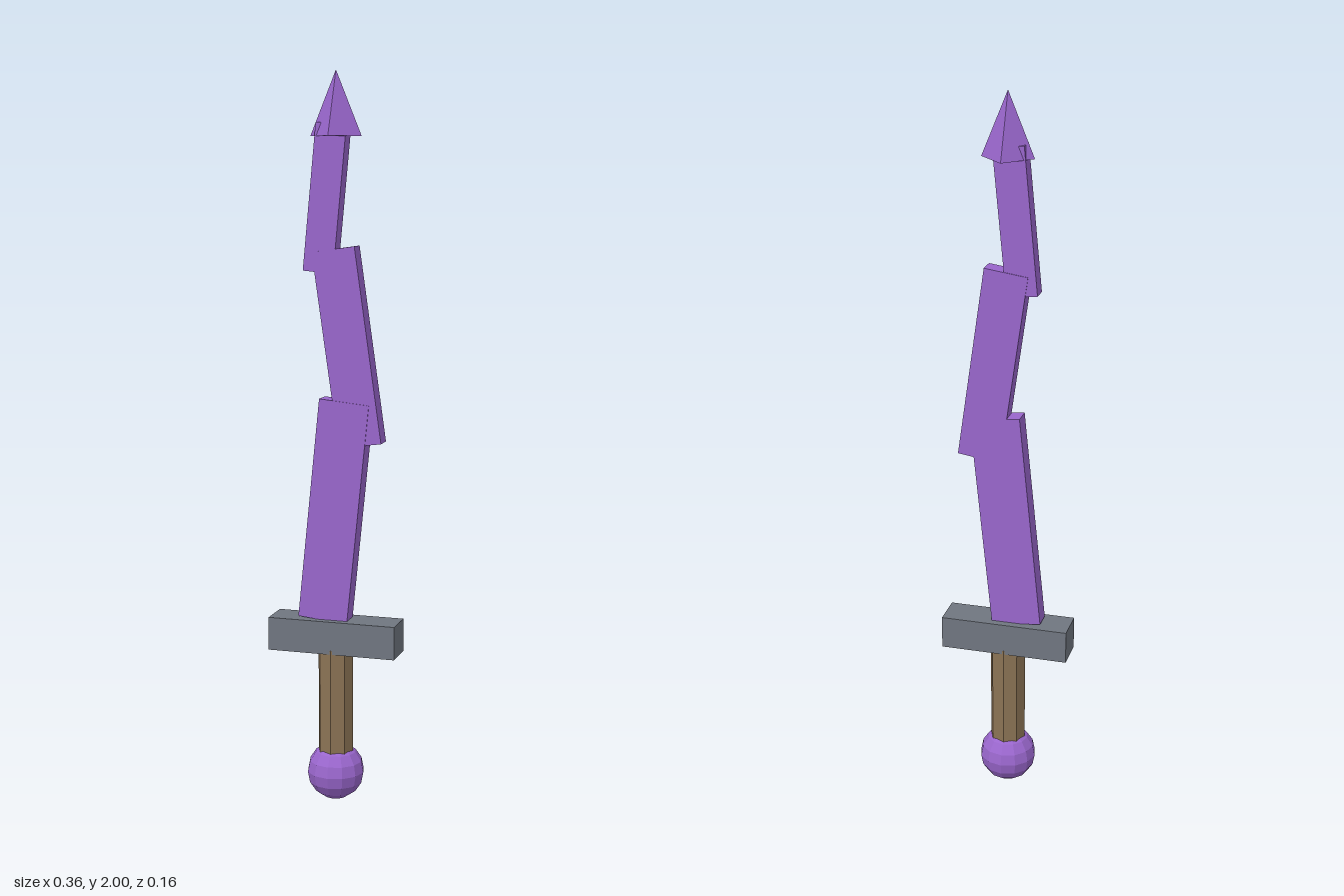
import * as THREE from 'three';

export function createModel() {
  const model = new THREE.Group();
  const material = (color) => new THREE.MeshStandardMaterial({ color, flatShading: true });
  const purple = material(0x9966cc);
  const steel = material(0x707680);
  const wood = material(0x8b7355);

  const add = (name, geometry, mat, x, y, tilt = 0) => {
    const mesh = new THREE.Mesh(geometry, mat);
    mesh.name = name;
    mesh.position.set(x, y, 0);
    mesh.rotation.z = tilt;
    model.add(mesh);
  };

  // Hilt: round pommel, eight-sided grip and flat crossguard
  add('pommel', new THREE.SphereGeometry(0.08, 12, 8), purple, 0, 0.08);
  add('grip', new THREE.CylinderGeometry(0.05, 0.05, 0.335, 8), wood, 0, 0.268);
  add('crossguard', new THREE.BoxGeometry(0.36, 0.092, 0.097), steel, 0, 0.471);

  // Zigzag blade: overlapping slabs, each narrower and thinner than the last
  const slabs = [
    ['lowerBlade', 0.14, 0.61, 0.054, 0, 0.819, -0.1],
    ['middleBlade', 0.12, 0.532, 0.05, 0.037, 1.268, 0.143],
    ['upperBlade', 0.085, 0.393, 0.046, -0.025, 1.665, -0.094],
  ];
  for (const [name, w, h, d, x, y, tilt] of slabs) {
    add(name, new THREE.BoxGeometry(w, h, d), purple, x, y, tilt);
  }

  // Four-sided point
  add('bladeTip', new THREE.ConeGeometry(0.071, 0.172, 4), purple, 0, 1.914);

  return model;
}
